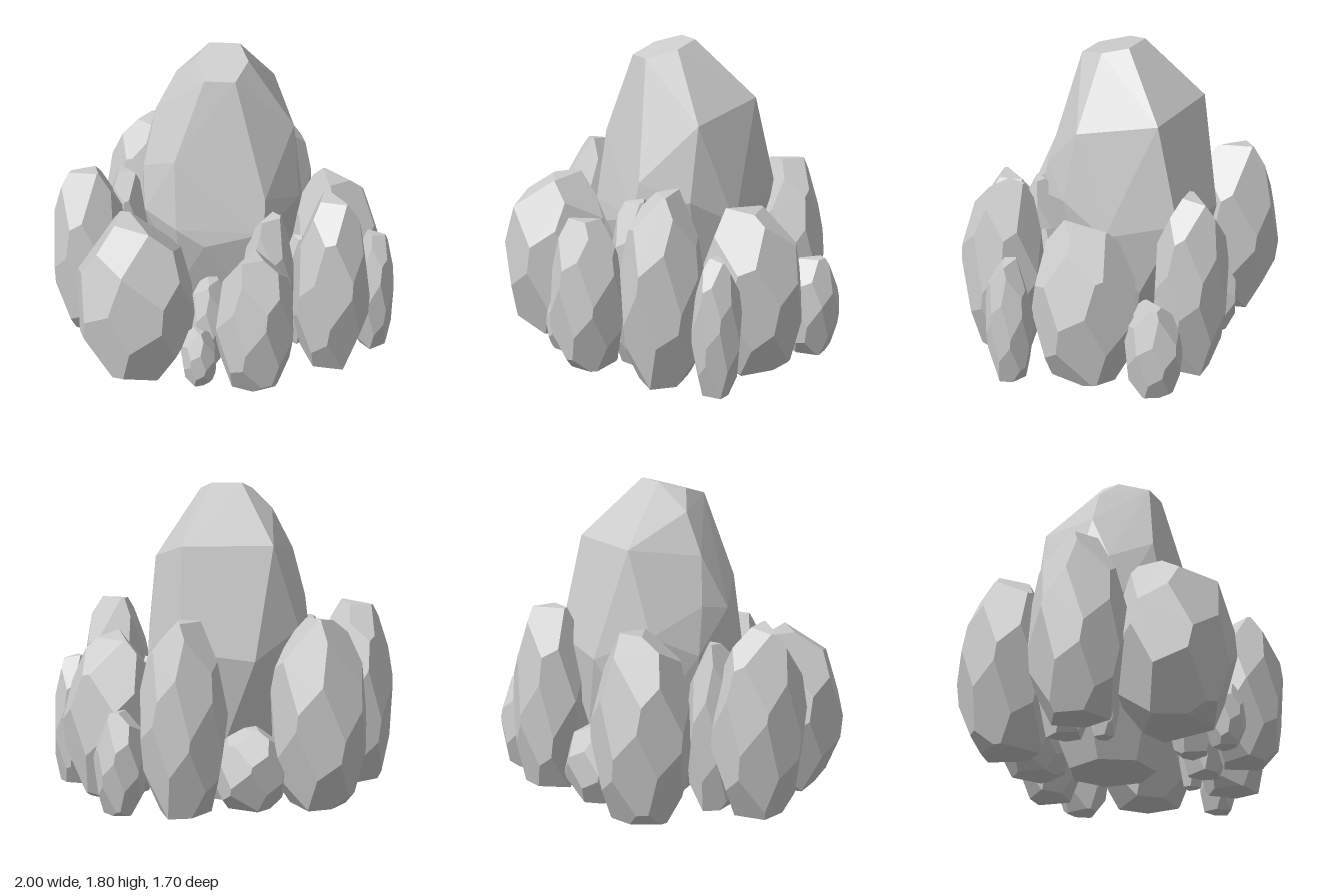
import * as THREE from 'three';
import { ConvexGeometry } from 'three/addons/geometries/ConvexGeometry.js';

const V = (x, y, z) => new THREE.Vector3(x, y, z);

function seeded(seed) {
  let s = seed * 7919 + 17;
  return () => (s = (s * 16807) % 2147483647) / 2147483647;
}

// A rounded stone cut by planes spread over a ball: the corners are the
// points where three planes meet inside all the others.
function cutStonePoints(seed, sides) {
  const rand = seeded(seed);
  rand();
  const turn = rand() * 6.28;
  const planes = [];
  for (let i = 0; i < sides; i++) {
    const y = -1 + (2 * i) / (sides - 1);
    const r = Math.sqrt(Math.max(0, 1 - y * y));
    const a = i * 2.39996 + turn;
    const n = V(r * Math.cos(a), y, r * Math.sin(a));
    if (i > 0) n.add(V(rand() - 0.5, rand() - 0.5, rand() - 0.5).multiplyScalar(0.15)).normalize();
    const d = i === 0 ? 0.88 : i === sides - 1 ? 1.05 : 1;
    planes.push({ n, d });
  }
  const points = [];
  for (let i = 0; i < sides; i++) for (let j = i + 1; j < sides; j++) for (let k = j + 1; k < sides; k++) {
    const [a, b, c] = [planes[i], planes[j], planes[k]];
    const bc = b.n.clone().cross(c.n);
    const det = a.n.dot(bc);
    if (Math.abs(det) < 1e-3) continue;
    const p = bc.multiplyScalar(a.d)
      .add(c.n.clone().cross(a.n).multiplyScalar(b.d))
      .add(a.n.clone().cross(b.n).multiplyScalar(c.d))
      .divideScalar(det);
    if (planes.every(q => q.n.dot(p) <= q.d + 1e-6)) points.push(p);
  }
  return points;
}

// Stretch the stone to fill a box
function stone(seed, sides, [x0, x1, y0, y1, z0, z1]) {
  const points = cutStonePoints(seed, sides);
  const box = new THREE.Box3().setFromPoints(points);
  const size = box.getSize(V(0, 0, 0));
  points.forEach(p => p.sub(box.min).divide(size)
    .multiply(V(x1 - x0, y1 - y0, z1 - z0)).add(V(x0, y0, z0)));
  return new ConvexGeometry(points);
}

export function createModel() {
  const group = new THREE.Group();
  const material = new THREE.MeshStandardMaterial({ color: 0xcccccc, flatShading: true });
  const add = (name, geometry) => {
    const mesh = new THREE.Mesh(geometry, material);
    mesh.name = name;
    group.add(mesh);
  };

  // Tall central rock: sloped cap, shoulders, waist, tapering foot
  const main = [
    V(-0.1, 1.8, -0.11), V(0.07, 1.8, -0.11), V(0.13, 1.76, 0.03),
    V(0.07, 1.71, 0.2), V(-0.1, 1.71, 0.2), V(-0.17, 1.76, 0.03),
    V(-0.28, 1.65, -0.04), V(-0.26, 1.47, -0.41), V(0.25, 1.47, -0.41),
    V(0.39, 1.37, 0.03), V(-0.4, 1.42, -0.02), V(-0.26, 1.25, 0.3), V(0.25, 1.05, 0.33),
    V(-0.47, 1.15, -0.06), V(-0.46, 1.12, 0.12),
    V(-0.5, 0.88, -0.1), V(-0.45, 0.88, 0.2), V(-0.25, 0.85, 0.37), V(-0.09, 0.75, 0.38), V(0.25, 0.85, 0.37),
    V(0.43, 0.95, 0.1), V(0.44, 0.8, -0.18), V(0.26, 0.9, -0.55), V(-0.15, 0.85, -0.57),
    V(-0.41, 1.0, -0.36),
  ];
  for (let i = 0; i < 7; i++) {
    const a = (i / 7) * Math.PI * 2 + 0.3;
    const c = Math.cos(a), s = Math.sin(a);
    main.push(V(-0.03 + 0.41 * c, 0.42, -0.1 + 0.42 * s));
    main.push(V(-0.03 + 0.24 * c, 0, -0.08 + 0.25 * s));
  }
  add('mainRock', new ConvexGeometry(main));

  // Surrounding rocks: x range, y range, z range
  const rocks = {
    frontRightLargeRock: [-0.82, -0.13, 0.02, 0.95, 0.18, 0.84],
    rightTallRock: [-1, -0.57, 0.02, 1.09, -0.16, 0.38],
    backRightTallRock: [-0.79, -0.24, 0.02, 1.09, -0.74, -0.2],
    backTallRock: [0, 0.48, 0.02, 1.09, -0.85, -0.42],
    leftLargeRock: [0.35, 0.93, 0.02, 0.95, -0.5, 0.13],
    frontLeftTallRock: [0.42, 0.86, 0.02, 1.09, 0.12, 0.61],
    frontRock: [0, 0.44, 0.02, 0.87, 0.42, 0.85],
    innerFrontRock: [0.12, 0.42, 0.01, 0.97, 0.2, 0.52],
    innerRightRock: [-0.74, -0.46, 0.02, 0.98, -0.23, 0.1],
    backRock: [-0.34, 0.09, 0.02, 0.47, -0.73, -0.3],
    backLeftSmallRock: [0.45, 0.74, 0.02, 0.59, -0.77, -0.42],
    leftSlimRock: [0.76, 1, 0, 0.77, 0.03, 0.31],
    frontPebble: [-0.2, 0, 0.01, 0.37, 0.53, 0.75],
    innerFrontPebble: [-0.18, 0.07, 0.01, 0.57, 0.3, 0.57],
    innerRightSliver: [-0.6, -0.44, 0.01, 0.7, 0.04, 0.22],
    innerLeftSliver: [0.35, 0.52, 0.01, 0.75, 0.12, 0.28],
  };
  Object.entries(rocks).forEach(([name, box], i) => {
    add(name, stone(i + 1, name.includes('Large') ? 24 : 26, box));
  });
  return group;
}
